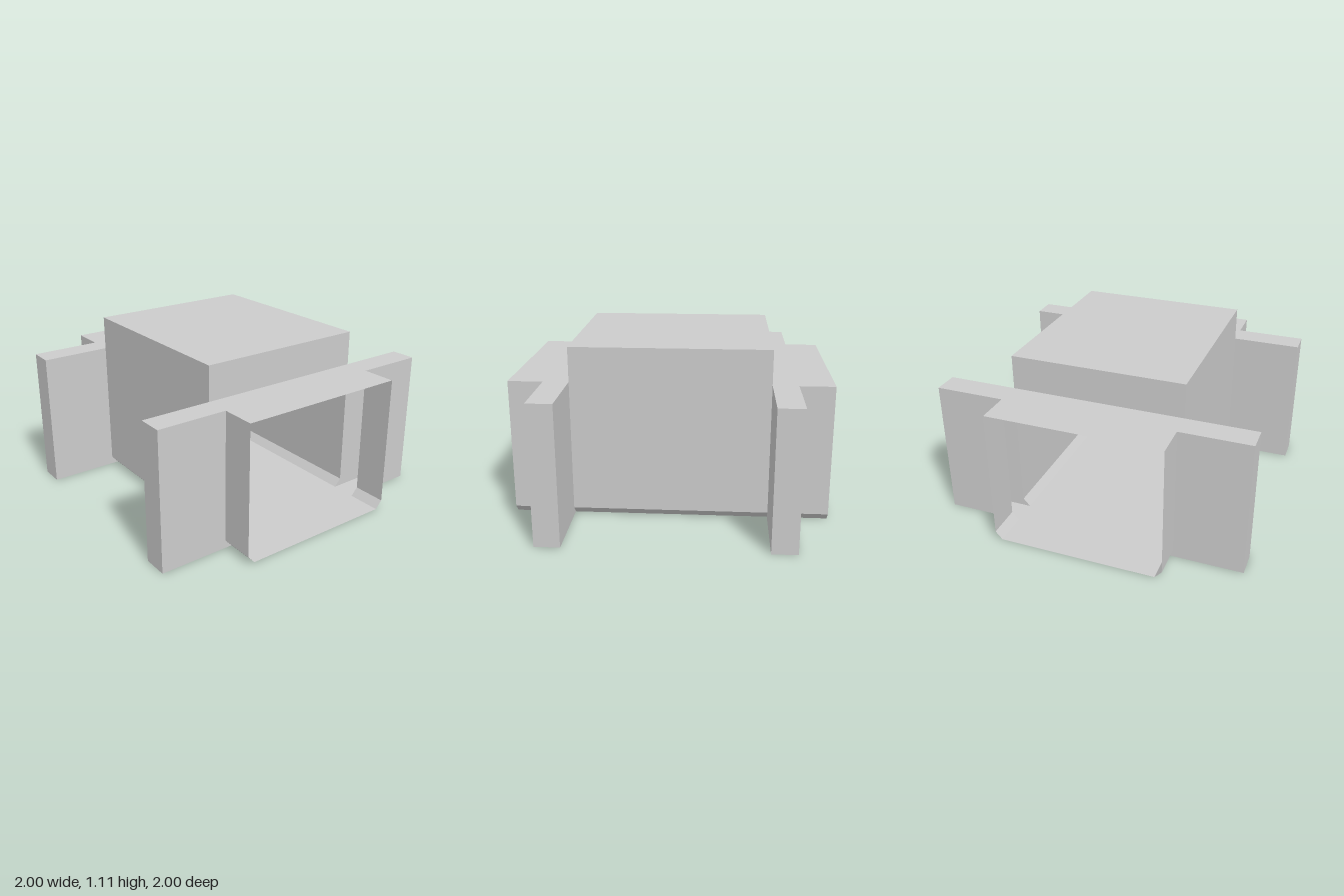
import * as THREE from 'three';

const W = 0.555, CH = 0.05, FLOOR = 0.51;   // half width, chamfer height, half floor width
const LOW = 0.89, HIGH = 1.11;              // ceiling heights of doorway and chamber
const Z_CHAMBER = 0.62, Z_POCKET = 0.78, Z_END = 1;

const material = new THREE.MeshStandardMaterial({ color: 0xcccccc, side: THREE.DoubleSide, flatShading: true });

// Tunnel cross-section with chamfered lower corners, counter-clockwise
const profile = (h) => [[-FLOOR, 0], [FLOOR, 0], [W, CH], [W, h], [-W, h], [-W, CH]];

// Open-ended thin sleeve: sweep a closed loop of (x, y) points from z0 to z1
function sleeve(name, loop, z0, z1) {
  const pos = [];
  loop.forEach(([ax, ay], i) => {
    const [bx, by] = loop[(i + 1) % loop.length];
    pos.push(ax, ay, z0, bx, by, z0, bx, by, z1);
    pos.push(ax, ay, z0, bx, by, z1, ax, ay, z1);
  });
  const geo = new THREE.BufferGeometry();
  geo.setAttribute('position', new THREE.Float32BufferAttribute(pos, 3));
  geo.computeVertexNormals();
  const mesh = new THREE.Mesh(geo, material);
  mesh.name = name;
  return mesh;
}

// Flat sheet facing along z
function sheet(name, points, z) {
  const shape = new THREE.Shape(points.map(([x, y]) => new THREE.Vector2(x, y)));
  const mesh = new THREE.Mesh(new THREE.ShapeGeometry(shape), material);
  mesh.name = name;
  mesh.position.z = z;
  return mesh;
}

// Doorway with hollow sliding-door pockets on both sides
function doorway(name) {
  const group = new THREE.Group();
  group.name = name;
  group.add(sleeve('entrance', profile(LOW), Z_POCKET, Z_END));
  group.add(sleeve('doorPocketShell', [[-1, 0], [1, 0], [1, LOW], [-1, LOW]], Z_CHAMBER, Z_POCKET));
  for (const s of [-1, 1]) {
    const plate = [[FLOOR, 0], [1, 0], [1, LOW], [W, LOW], [W, CH]].map(([x, y]) => [s * x, y]);
    group.add(sheet('doorPocketInnerPlate', plate, Z_CHAMBER));
    group.add(sheet('doorPocketOuterPlate', plate, Z_POCKET));
  }
  // wall above the door, up to the chamber roof
  group.add(sheet('lintel', [[-W, LOW], [W, LOW], [W, HIGH], [-W, HIGH]], Z_CHAMBER));
  return group;
}

export function createModel() {
  const model = new THREE.Group();
  model.name = 'airlockCorridor';
  model.add(sleeve('chamber', profile(HIGH), -Z_CHAMBER, Z_CHAMBER));
  const back = doorway('backDoorway');
  back.rotation.y = Math.PI;
  model.add(doorway('frontDoorway'), back);
  return model;
}
